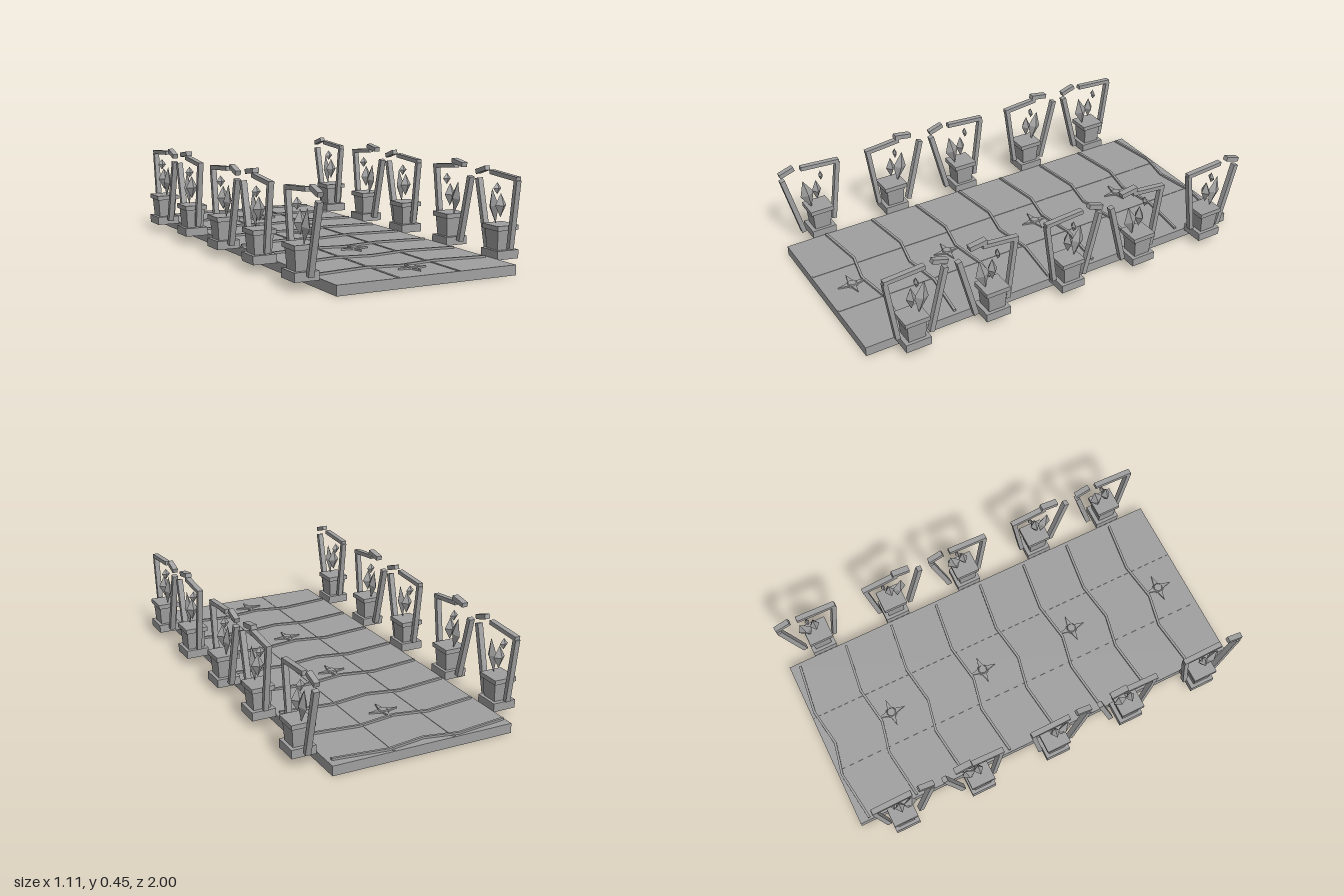
import * as THREE from 'three';

const stone = new THREE.MeshStandardMaterial({ color: 0xa0a0a0, flatShading: true });
stone.name = 'grey stone';

function add(parent, name, geometry, x = 0, y = 0, z = 0) {
  const mesh = new THREE.Mesh(geometry, stone);
  mesh.name = name;
  mesh.position.set(x, y, z);
  parent.add(mesh);
  return mesh;
}

// Bar in the z-y plane running between two [z, y] points
function beam(parent, name, [z0, y0], [z1, y1], depth, thick) {
  const length = Math.hypot(z1 - z0, y1 - y0);
  const mesh = add(parent, name, new THREE.BoxGeometry(depth, thick, length), 0, (y0 + y1) / 2, (z0 + z1) / 2);
  mesh.rotation.x = -Math.atan2(y1 - y0, z1 - z0);
}

// Elongated octahedron given by its half sizes
function crystal(parent, name, y, z, hx, hy, hz, tilt = 0) {
  const mesh = add(parent, name, new THREE.OctahedronGeometry(1).scale(hx, hy, hz), 0, y, z);
  mesh.rotation.x = tilt;
}

// Zigzag ridge lying across the floor
function ridge(parent, z) {
  const pts = [[-0.43, 0], [-0.18, -0.033], [-0.02, 0], [0.17, -0.03], [0.42, 0]];
  const w = 0.006;
  const shape = new THREE.Shape();
  pts.forEach(([x, d], i) => (i ? shape.lineTo(x, -d + w) : shape.moveTo(x, -d + w)));
  [...pts].reverse().forEach(([x, d]) => shape.lineTo(x, -d - w));
  const geo = new THREE.ExtrudeGeometry(shape, { depth: 0.012, bevelEnabled: false });
  geo.rotateX(-Math.PI / 2);
  add(parent, 'zigzagRidge', geo, 0, 0.044, z);
}

// Four-pointed star inlay
function star(parent, z) {
  const shape = new THREE.Shape();
  for (let i = 0; i < 8; i++) {
    const r = i % 2 ? 0.02 : 0.07;
    const a = (i * Math.PI) / 4;
    const p = [r * Math.cos(a), r * Math.sin(a)];
    if (i) shape.lineTo(...p);
    else shape.moveTo(...p);
  }
  const geo = new THREE.ExtrudeGeometry(shape, { depth: 0.009, bevelEnabled: false });
  geo.rotateX(-Math.PI / 2);
  add(parent, 'starInlay', geo, 0, 0.045, z);
  add(parent, 'starBoss', new THREE.CylinderGeometry(0.02, 0.028, 0.012, 8), 0, 0.053, z);
}

// Pedestal with crystals under a broken frame; s flips it along z
function shrine(parent, x, z, s, raised) {
  const g = new THREE.Group();
  g.name = 'shrine';
  g.position.set(x, 0, z);
  parent.add(g);

  add(g, 'pedestalBase', new THREE.BoxGeometry(0.114, 0.04, 0.123), 0, 0.06, 0);
  const trunk = new THREE.CylinderGeometry(0.048 * Math.SQRT2, 0.041 * Math.SQRT2, 0.095, 4);
  add(g, 'pedestalTrunk', trunk.rotateY(Math.PI / 4), 0, 0.125, 0);
  add(g, 'pedestalCap', new THREE.BoxGeometry(0.112, 0.022, 0.12), 0, 0.18, 0);

  crystal(g, 'mainCrystal', 0.275, 0, 0.03, 0.055, 0.024);
  crystal(g, 'smallCrystal', 0.348, -0.028, 0.022, 0.027, 0.011);
  crystal(g, 'crystalShard', 0.265, s * 0.05, 0.02, 0.08, 0.035, s * 0.2);

  beam(g, 'outerPost', [s * 0.168, 0.38], [s * 0.088, 0.065], 0.027, 0.024);
  beam(g, 'innerPost', [s * -0.118, 0.4], [s * -0.075, 0.09], 0.025, 0.022);
  if (raised) {
    beam(g, 'lintel', [s * -0.13, 0.4], [s * 0.05, 0.418], 0.026, 0.02);
    beam(g, 'brokenLintel', [s * 0.03, 0.441], [s * 0.115, 0.428], 0.03, 0.022);
  } else {
    beam(g, 'lintel', [s * -0.125, 0.405], [s * 0.07, 0.418], 0.026, 0.02);
    beam(g, 'brokenLintel', [s * 0.178, 0.408], [s * 0.105, 0.432], 0.026, 0.022);
  }
}

export function createModel() {
  const model = new THREE.Group();
  model.name = 'shrineWalkway';

  // Floor slab with lengthwise seams
  add(model, 'floor', new THREE.BoxGeometry(0.88, 0.046, 2), 0, 0.023, 0);
  for (const x of [-0.148, 0.148]) {
    add(model, 'floorSeam', new THREE.BoxGeometry(0.012, 0.008, 1.99), x, 0.044, 0);
  }

  // Floor decoration
  for (let i = 0; i < 8; i++) ridge(model, -0.95 + i * 0.25);
  for (let i = 0; i < 4; i++) star(model, -0.64 + i * 0.5);

  // Two rows of five shrines, alternating in direction
  for (const side of [-1, 1]) {
    for (let i = -2; i <= 2; i++) {
      const raised = i % 2 !== 0;
      shrine(model, side * 0.5, i * 0.4, raised ? side : -side, raised);
    }
  }
  return model;
}
